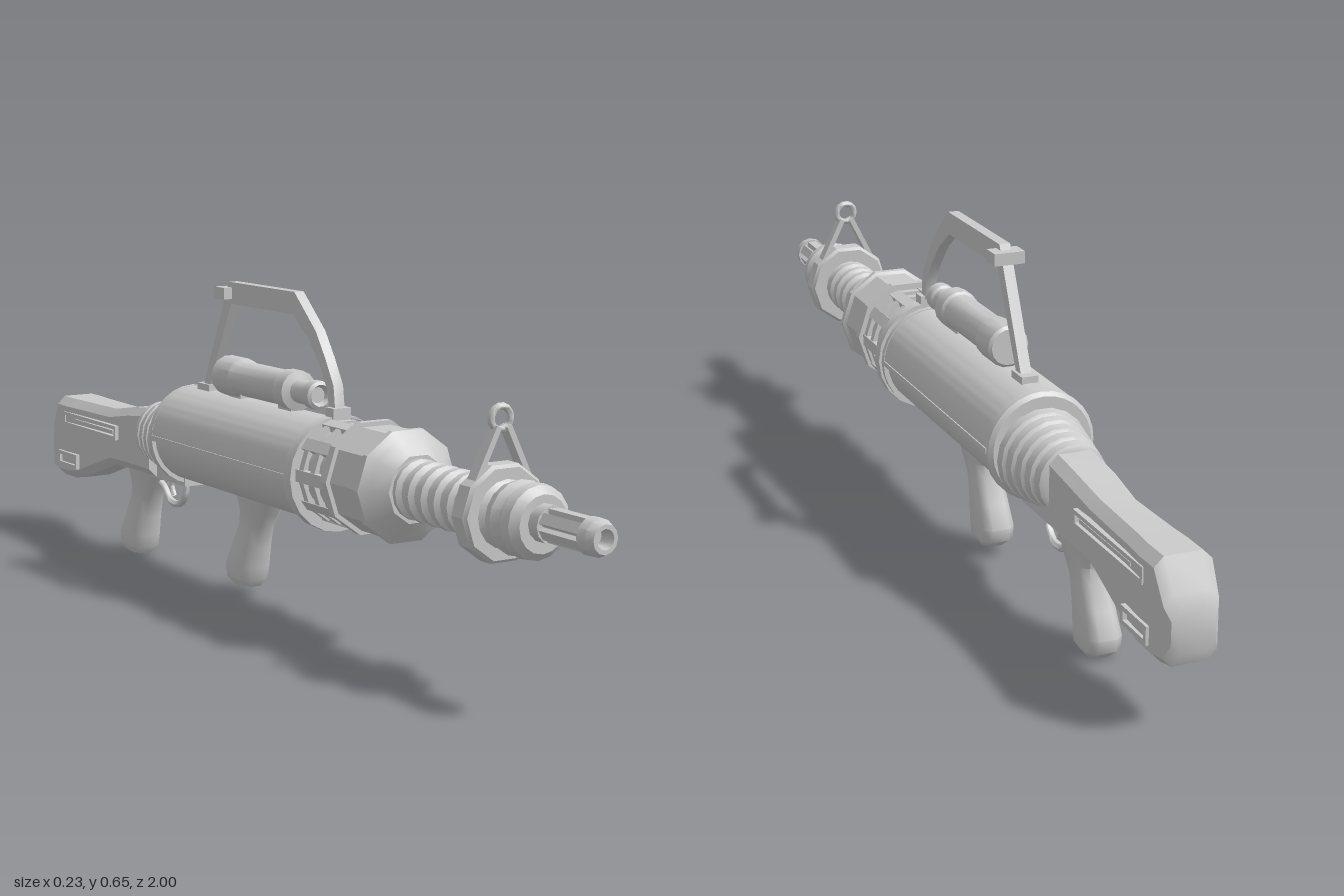
import * as THREE from 'three';
import { toCreasedNormals } from 'three/addons/utils/BufferGeometryUtils.js';

const AXIS = 0.325; // barrel height

export function createModel() {
  const root = new THREE.Group();
  const mat = new THREE.MeshStandardMaterial({ color: 0xcccccc, side: THREE.DoubleSide });

  const add = (name, geo, crease = 0.6) => {
    const mesh = new THREE.Mesh(toCreasedNormals(geo, crease), mat);
    mesh.name = name;
    root.add(mesh);
    return mesh;
  };
  const box = (name, w, h, d, x, y, z) => {
    const m = add(name, new THREE.BoxGeometry(w, h, d));
    m.position.set(x, y, z);
    return m;
  };
  // Turned part along z; profile is [z, radius] with z rising
  const turn = (name, profile, y = AXIS, sides = 20, crease = 0.6) => {
    const pts = profile.map(([z, r]) => new THREE.Vector2(r, z));
    const geo = new THREE.LatheGeometry(pts, sides).rotateY(Math.PI / 2).rotateX(Math.PI / 2);
    geo.translate(0, y, 0);
    return add(name, geo, crease);
  };
  // Side outline of [z, y] points, extruded across x
  const plate = (name, outline, width) => {
    const shape = new THREE.Shape(outline.map(([z, y]) => new THREE.Vector2(z, y)));
    const geo = new THREE.ExtrudeGeometry(shape, { depth: width, bevelEnabled: false });
    geo.translate(0, 0, -width / 2).rotateY(-Math.PI / 2);
    return add(name, geo);
  };
  const tube = (name, pts, r) => {
    const curve = new THREE.CatmullRomCurve3(pts.map(([z, y]) => new THREE.Vector3(0, y, z)));
    return add(name, new THREE.TubeGeometry(curve, 16, r, 6), 1.2);
  };
  // Chamfered rectangle of half sizes a, b
  const chamfered = (a, b, c) => [
    [a, b - c], [a - c, b], [c - a, b], [-a, b - c],
    [-a, c - b], [c - a, -b], [a - c, -b], [a, c - b]];
  // Skin over equal-sized rings of Vector3, capped at both ends
  const loft = (name, rings, flip, crease) => {
    const n = rings[0].length, idx = [];
    const tri = (a, b, c) => (flip ? idx.push(a, c, b) : idx.push(a, b, c));
    for (let i = 0; i < rings.length - 1; i++)
      for (let j = 0; j < n; j++) {
        const a = i * n + j, b = i * n + (j + 1) % n;
        tri(a, b, b + n);
        tri(a, b + n, a + n);
      }
    const last = (rings.length - 1) * n;
    for (let j = 1; j < n - 1; j++) {
      tri(0, j + 1, j);
      tri(last, last + j, last + j + 1);
    }
    const geo = new THREE.BufferGeometry().setFromPoints(rings.flat());
    geo.setIndex(idx);
    return add(name, geo.toNonIndexed(), crease);
  };

  // Muzzle: core, slotted sleeve bars and tip
  turn('muzzleCore', [[0.82, 0.022], [0.98, 0.022]]);
  turn('muzzleBase', [[0.82, 0.034], [0.862, 0.034], [0.862, 0.02]], AXIS + 0.003, 12);
  turn('muzzleTip', [[0.965, 0.02], [0.965, 0.034], [0.985, 0.033], [1, 0.026], [1, 0.018], [0.97, 0.016], [0.97, 0]], AXIS + 0.003, 12);
  for (let i = 0; i < 6; i++) {
    const a = (i + 0.5) * Math.PI / 3;
    const bar = box('muzzleBar', 0.013, 0.02, 0.115, Math.cos(a) * 0.023, AXIS + 0.003 + Math.sin(a) * 0.023, 0.912);
    bar.rotation.z = a;
  }

  // Front barrel bulge and collar
  turn('barrelHead', [[0.84, 0], [0.84, 0]].slice(1).concat([]).length ? [
    [0.68, 0.05], [0.7, 0.062], [0.735, 0.062], [0.745, 0.05], [0.755, 0.062], [0.775, 0.068], [0.788, 0.06],
    [0.795, 0.06], [0.805, 0.068], [0.825, 0.066], [0.838, 0.052], [0.838, 0]] : [], AXIS, 16);
  turn('barrelCollar', [[0.69, 0.05], [0.69, 0.085], [0.697, 0.091], [0.728, 0.091], [0.735, 0.085], [0.735, 0.05]], AXIS, 10);

  // Ribbed barrel
  const ribs = [[0.42, 0.048]];
  for (let i = 0; i < 6; i++) {
    const z = 0.455 + i * 0.04;
    ribs.push([z, 0.048], [z + 0.006, 0.058], [z + 0.022, 0.058], [z + 0.028, 0.048]);
  }
  ribs.push([0.7, 0.048]);
  turn('ribbedBarrel', ribs, AXIS, 16);

  // Faceted front housing
  turn('frontHousing', [[0.31, 0], [0.31, 0.113], [0.328, 0.113], [0.328, 0.104], [0.415, 0.104],
    [0.42, 0.111], [0.432, 0.111], [0.445, 0.095], [0.468, 0.066], [0.468, 0.045]], AXIS, 10, 0.5);

  // Vented drum with ridges and slats
  turn('drumCore', [[0.19, 0.092], [0.32, 0.092]], AXIS - 0.005, 20);
  for (let i = 0; i < 10; i++) {
    const ridgeAt = (name, a, w, r, d, z) => {
      const m = box(name, 0.02, w, d, Math.cos(a) * r, AXIS - 0.005 + Math.sin(a) * r, z);
      m.rotation.z = a;
    };
    const a = i * Math.PI / 5;
    ridgeAt('drumRidge', a, 0.024, 0.093, 0.12, 0.255);
    for (const z of [0.222, 0.262, 0.3]) ridgeAt('drumSlat', a + Math.PI / 10, 0.042, 0.09, 0.015, z);
  }

  // Main body: rear and front flanges, inner tube, overhanging upper shell
  const bodyY = 0.31;
  turn('frontFlange', [[0.18, 0], [0.18, 0.115], [0.204, 0.115], [0.204, 0]], 0.313, 20);
  turn('bodyTube', [[-0.385, 0], [-0.385, 0.099], [0.185, 0.099]], bodyY, 28);
  turn('rearFlange', [[-0.395, 0.06], [-0.395, 0.1], [-0.388, 0.108], [-0.375, 0.108], [-0.375, 0.09]], bodyY, 28);
  turn('frontRim', [[0.168, 0.09], [0.168, 0.109], [0.185, 0.109]], bodyY, 28);
  const arc = new THREE.Shape();
  arc.absarc(0, 0, 0.107, -0.05, Math.PI + 0.05, false);
  arc.absarc(0, 0, 0.095, Math.PI + 0.05, -0.05, true);
  add('upperShell', new THREE.ExtrudeGeometry(arc, { depth: 0.565, bevelEnabled: false, curveSegments: 20 })
    .translate(0, bodyY, -0.385));
  for (const s of [-1, 1]) box('sideRail', 0.012, 0.01, 0.55, s * 0.103, bodyY + 0.002, -0.105);

  // Scope on two mounts
  turn('scope', [[-0.235, 0], [-0.235, 0.036], [-0.23, 0.042], [-0.165, 0.042], [-0.155, 0.036], [0.01, 0.036],
    [0.015, 0.041], [0.05, 0.041], [0.055, 0.024], [0.1, 0.024], [0.105, 0.029], [0.128, 0.029], [0.132, 0.022],
    [0.12, 0.016], [0.12, 0]], 0.457, 14);
  for (const z of [0.02, -0.18]) box('scopeMount', 0.03, 0.05, 0.05, 0, 0.42, z);

  // Carrying handle
  plate('carryHandle', [[0.205, 0.41], [0.195, 0.485], [0.165, 0.535], [0.13, 0.585], [0.05, 0.655], [-0.21, 0.655],
    [-0.325, 0.41], [-0.302, 0.41], [-0.2, 0.61], [0.045, 0.61], [0.1, 0.57], [0.145, 0.52], [0.172, 0.475], [0.185, 0.41]], 0.022);
  box('handleCrossbar', 0.062, 0.024, 0.04, 0, 0.632, -0.215);
  box('handleFrontFoot', 0.04, 0.035, 0.03, 0, 0.425, 0.195);
  box('handleRearFoot', 0.034, 0.02, 0.05, 0, 0.42, -0.31);

  // Ring sight on splayed legs
  add('sightRing', new THREE.TorusGeometry(0.021, 0.0065, 8, 14), 1.2).position.set(0, 0.491, 0.713);
  for (const s of [-1, 1]) {
    const leg = box('sightLeg', 0.011, 0.105, 0.024, s * 0.034, 0.43, 0.713);
    leg.rotation.z = s * 0.46;
  }

  // Tapered bellows between body and stock
  const bellows = [];
  for (let i = 0; i < 5; i++) {
    const z = -0.535 + i * 0.03, r = 0.068 + i * 0.0055;
    bellows.push([z, r - 0.008], [z + 0.004, r], [z + 0.022, r + 0.003], [z + 0.026, r - 0.006]);
  }
  turn('bellows', [[-0.535, 0], ...bellows, [-0.38, 0.08]], 0.295, 18);

  // Stock: [z, bottom, top, half width]
  const stock = [[-0.5, 0.2, 0.354, 0.05], [-0.6, 0.2, 0.343, 0.05], [-0.7, 0.196, 0.326, 0.046], [-0.86, 0.142, 0.325, 0.051],
    [-0.9, 0.135, 0.325, 0.054], [-0.955, 0.135, 0.325, 0.054], [-0.988, 0.14, 0.268, 0.051], [-1, 0.165, 0.245, 0.042]];
  loft('stock', stock.map(([z, lo, hi, w]) => chamfered(w, (hi - lo) / 2, 0.018)
    .map(([x, y]) => new THREE.Vector3(x, (lo + hi) / 2 + y, z))), true, 0.5);
  box('lowerReceiver', 0.06, 0.035, 0.3, 0, 0.215, -0.52);

  // Stock slots, mirrored
  for (const s of [-1, 1]) {
    for (const y of [0.266, 0.29]) box('slotEdge', 0.014, 0.008, 0.27, s * 0.05, y, -0.785);
    for (const z of [-0.654, -0.916]) box('slotEnd', 0.014, 0.03, 0.008, s * 0.05, 0.278, z);
    box('slotBar', 0.012, 0.008, 0.2, s * 0.048, 0.278, -0.77);
    for (const y of [0.168, 0.194]) box('lowerSlotEdge', 0.014, 0.009, 0.095, s * 0.053, y, -0.898);
    for (const z of [-0.855, -0.941]) box('lowerSlotEnd', 0.014, 0.03, 0.009, s * 0.053, 0.181, z);
  }

  // Pistol grips: [y, front z, back z, half width]
  const grip = [[0.003, -0.607, -0.668, 0.024], [0.018, -0.6, -0.685, 0.033], [0.045, -0.594, -0.69, 0.033],
    [0.09, -0.582, -0.668, 0.03], [0.135, -0.568, -0.643, 0.028], [0.165, -0.545, -0.637, 0.029], [0.215, -0.515, -0.655, 0.032]];
  const makeGrip = (name, dy, dz) => loft(name, grip.map(([y, f, b, w]) => chamfered(w, (f - b) / 2, 0.014)
    .map(([x, z]) => new THREE.Vector3(x, y + dy, (f + b) / 2 + z + dz))), true, 0.9);
  makeGrip('rearGrip', 0, 0);
  makeGrip('frontGrip', 0.02, 0.488);

  // Trigger and guard
  tube('triggerGuard', [[-0.418, 0.21], [-0.424, 0.165], [-0.455, 0.142], [-0.495, 0.146], [-0.52, 0.17], [-0.545, 0.18]], 0.008);
  tube('trigger', [[-0.475, 0.205], [-0.485, 0.18], [-0.475, 0.158]], 0.006);

  return root;
}
